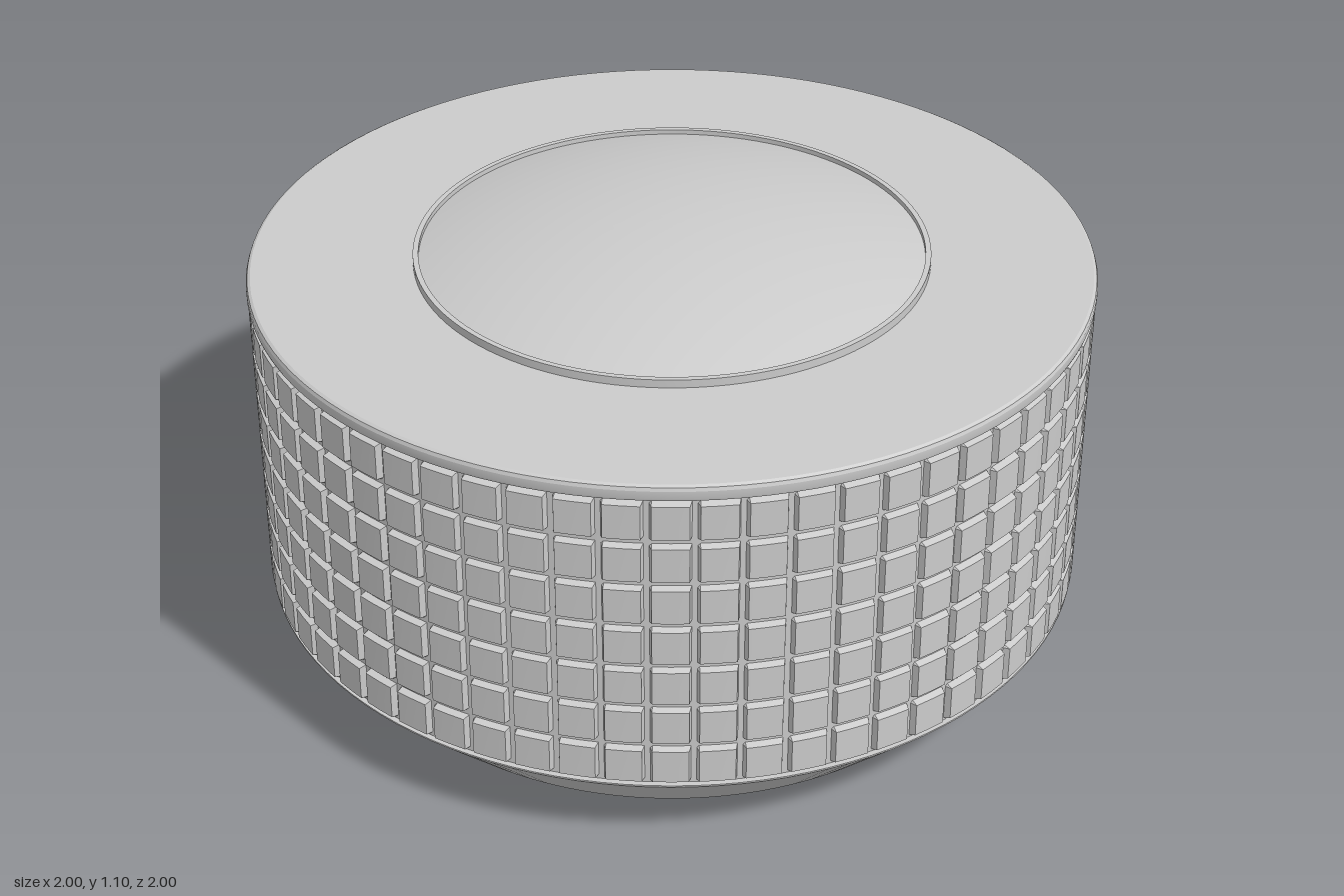
import * as THREE from 'three';
import { toCreasedNormals } from 'three/addons/utils/BufferGeometryUtils.js';

const material = new THREE.MeshStandardMaterial({ color: 0xcccccc });
const COLUMNS = 60, ROWS = 7, GRIP_BOTTOM = 0.2, GRIP_TOP = 0.96;
const FLOOR_RADIUS = 0.982, PAD_RADIUS = 0.998;

function addMesh(group, name, geometry) {
  const mesh = new THREE.Mesh(toCreasedNormals(geometry, 0.35), material);
  mesh.name = name;
  group.add(mesh);
}

function lathe(profile) {
  return new THREE.LatheGeometry(profile.map(([r, y]) => new THREE.Vector2(r, y)), 120);
}

// Stations along one direction: groove floor, bevel, pad, bevel, groove floor.
// Each station is [position in pitches, 1 on a pad or 0 in a groove].
function stations(count) {
  const list = [[0, 0]];
  for (let i = 0; i < count; i++) {
    list.push([i + 0.06, 0], [i + 0.11, 1], [i + 0.5, 1], [i + 0.89, 1], [i + 0.94, 0]);
  }
  list.push([count, 0]);
  return list;
}

// Cylinder wall cut into square pads by crossing grooves
function gripGeometry() {
  const around = stations(COLUMNS);
  const up = stations(ROWS).filter(([v]) => v % 1 !== 0.5);
  const positions = [], index = [];
  for (const [v, padV] of up) {
    const y = GRIP_BOTTOM + (GRIP_TOP - GRIP_BOTTOM) * v / ROWS;
    for (const [u, padU] of around) {
      const angle = u / COLUMNS * Math.PI * 2;
      const r = padU && padV ? PAD_RADIUS : FLOOR_RADIUS;
      positions.push(r * Math.sin(angle), y, r * Math.cos(angle));
    }
  }
  const n = around.length;
  for (let j = 0; j < up.length - 1; j++) {
    for (let i = 0; i < n - 1; i++) {
      const a = j * n + i, b = a + 1, c = a + n, d = c + 1;
      index.push(a, b, d, a, d, c);
    }
  }
  const geometry = new THREE.BufferGeometry();
  geometry.setAttribute('position', new THREE.Float32BufferAttribute(positions, 3));
  geometry.setIndex(index);
  return geometry;
}

// Shallow spherical cap, from its rim up to the axis
function domeProfile(radius, bottom, top, steps) {
  const h = top - bottom;
  const R = (radius * radius + h * h) / (2 * h);
  const sweep = Math.asin(radius / R);
  return Array.from({ length: steps + 1 }, (_, i) => {
    const a = sweep * (1 - i / steps);
    return [R * Math.sin(a), top - R + R * Math.cos(a)];
  });
}

export function createModel() {
  const knob = new THREE.Group();
  knob.name = 'knob';

  // Shaft hole, boss, hollow underside and tapered skirt
  addMesh(knob, 'base', lathe([
    [0, 0.3], [0.055, 0.3], [0.055, 0], [0.217, 0], [0.217, 0.37],
    [0.7, 0.37], [0.7, 0], [0.8, 0], [0.996, 0.196], [0.996, 0.2], [FLOOR_RADIUS, 0.2],
  ]));

  addMesh(knob, 'grip', gripGeometry());

  // Rounded top band and flat face
  addMesh(knob, 'topPlate', lathe([
    [FLOOR_RADIUS, GRIP_TOP], [0.992, 0.961], [0.998, 0.964], [1, 0.97],
    [1, 0.988], [0.997, 0.996], [0.99, 1], [0.6, 1],
  ]));

  // Thin raised ring around the dome
  addMesh(knob, 'ring', lathe([[0.61, 1], [0.61, 1.02], [0.597, 1.02], [0.597, 1]]));

  addMesh(knob, 'dome', lathe(domeProfile(0.597, 1.008, 1.1, 20)));

  return knob;
}
